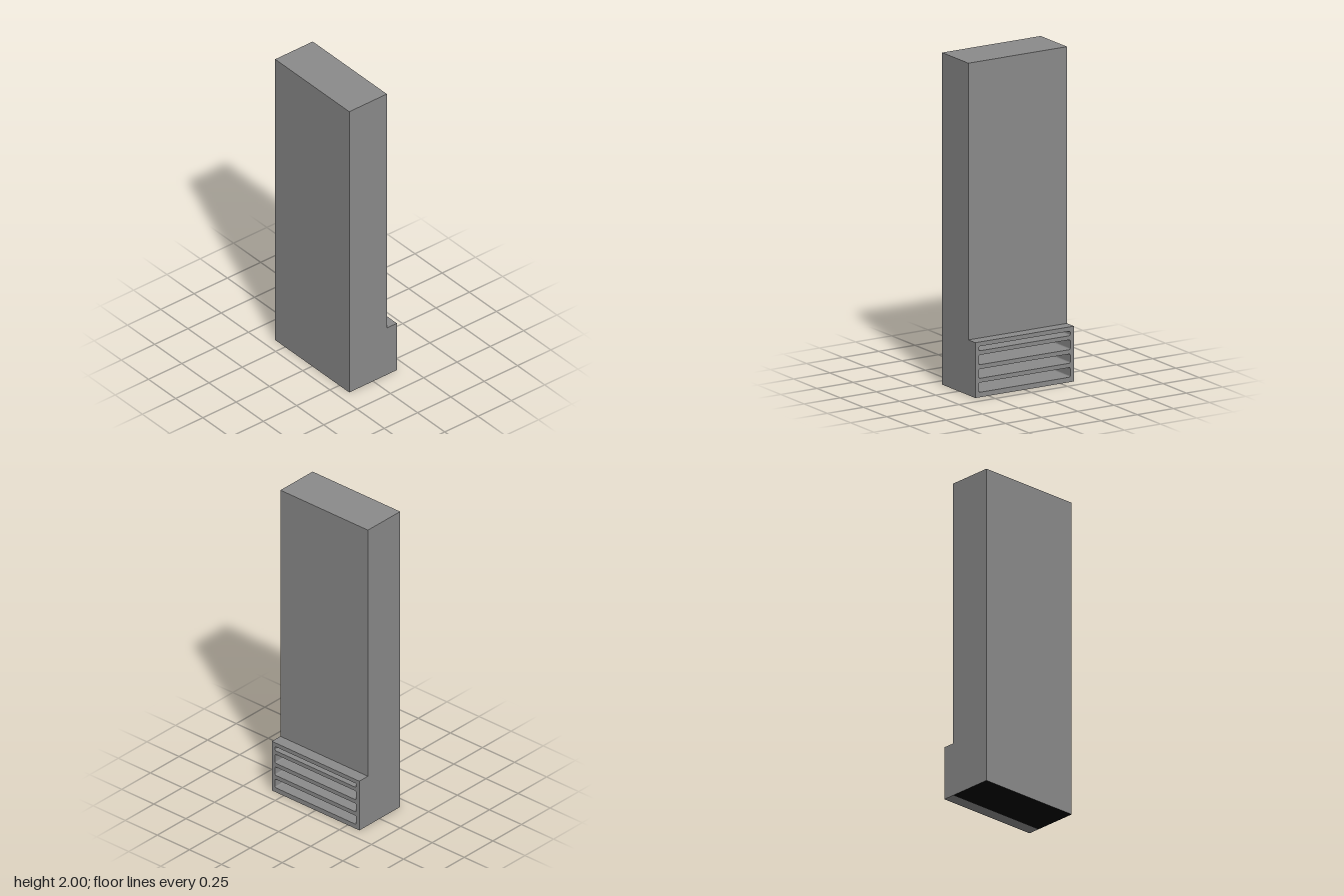
import * as THREE from 'three';

const BACK = -0.179, WALL = 0.103, FACE = 0.178; // x of rear, tall panel and grille
const TOP = 2, STEP = 0.333, HALF = 0.341, SLOT_DEPTH = 0.25;
const grey = new THREE.MeshStandardMaterial({ color: 0x8a8a8a });
const black = new THREE.MeshStandardMaterial({ color: 0x000000 });

function addMesh(group, name, geometry, material = grey) {
  const mesh = new THREE.Mesh(geometry, material);
  mesh.name = name;
  group.add(mesh);
}

// Inward-facing wall between matching points of a front and a rear outline
function band(front, rear) {
  const pos = [];
  front.forEach((p, i) => {
    const j = (i + 1) % front.length;
    for (const v of [p, rear[j], rear[i], p, front[j], rear[j]]) pos.push(v.x, v.y, v.z);
  });
  const g = new THREE.BufferGeometry();
  g.setAttribute('position', new THREE.Float32BufferAttribute(pos, 3));
  g.computeVertexNormals();
  return g;
}

// Rounded rectangle, counter-clockwise
function slotShape(v0, v1, half, r) {
  const s = new THREE.Shape();
  s.absarc(half - r, v0 + r, r, -Math.PI / 2, 0);
  s.absarc(half - r, v1 - r, r, 0, Math.PI / 2);
  s.absarc(-half + r, v1 - r, r, Math.PI / 2, Math.PI);
  s.absarc(-half + r, v0 + r, r, Math.PI, Math.PI * 1.5);
  return s;
}

const polygon = corners => new THREE.Shape(corners.map(p => new THREE.Vector2(...p)));
const rect = (v0, v1) => polygon([[-HALF, v0], [HALF, v0], [HALF, v1], [-HALF, v1]]);

// Flat face looking towards +x
function sideFace(shape, x) {
  return new THREE.ShapeGeometry(shape, 4).rotateY(Math.PI / 2).translate(x, 0, 0);
}

export function createModel() {
  const model = new THREE.Group();
  model.name = 'ventedCabinet';

  // Stepped end panels; the rear one is a mirrored profile turned round
  const profile = [[BACK, 0], [FACE, 0], [FACE, STEP], [WALL, STEP], [WALL, TOP], [BACK, TOP]];
  const mirrored = profile.map(([x, y]) => [-x, y]);
  addMesh(model, 'frontEnd', new THREE.ShapeGeometry(polygon(profile)).translate(0, 0, HALF));
  addMesh(model, 'backEnd', new THREE.ShapeGeometry(polygon(mirrored))
    .rotateY(Math.PI).translate(0, 0, -HALF));

  // Tall panel and rear panel
  addMesh(model, 'tallPanel', sideFace(rect(STEP, TOP), WALL));
  addMesh(model, 'rearPanel', new THREE.PlaneGeometry(2 * HALF, TOP)
    .rotateY(-Math.PI / 2).translate(BACK, TOP / 2, 0));

  // Top, ledge above the grille, and the two undersides
  const level = (name, x0, x1, y, turn, material) => addMesh(model, name,
    new THREE.PlaneGeometry(x1 - x0, 2 * HALF).rotateX(turn * Math.PI / 2)
      .translate((x0 + x1) / 2, y, 0), material);
  level('top', BACK, WALL, TOP, -1);
  level('grilleLedge', WALL, FACE, STEP, -1);
  level('grilleUnderside', WALL, FACE, 0, 1);
  level('cabinetUnderside', BACK, WALL, 0, 1, black);

  // Grille face with four recessed slots
  const grille = rect(0, STEP);
  const slots = [[0.03, 0.088], [0.114, 0.17], [0.196, 0.255], [0.28, 0.307]];
  slots.forEach(([v0, v1]) => {
    const slot = slotShape(v0, v1, 0.316, 0.008);
    grille.holes.push(slot);
    const points = slot.getPoints(4);
    if (points[0].distanceTo(points.at(-1)) < 1e-5) points.pop();
    const ring = x => points.map(p => new THREE.Vector3(x, p.y, -p.x));
    addMesh(model, 'slotWalls', band(ring(FACE), ring(FACE - SLOT_DEPTH)));
    addMesh(model, 'slotBack', sideFace(slot, FACE - SLOT_DEPTH));
  });
  addMesh(model, 'grilleFace', sideFace(grille, FACE));
  return model;
}
